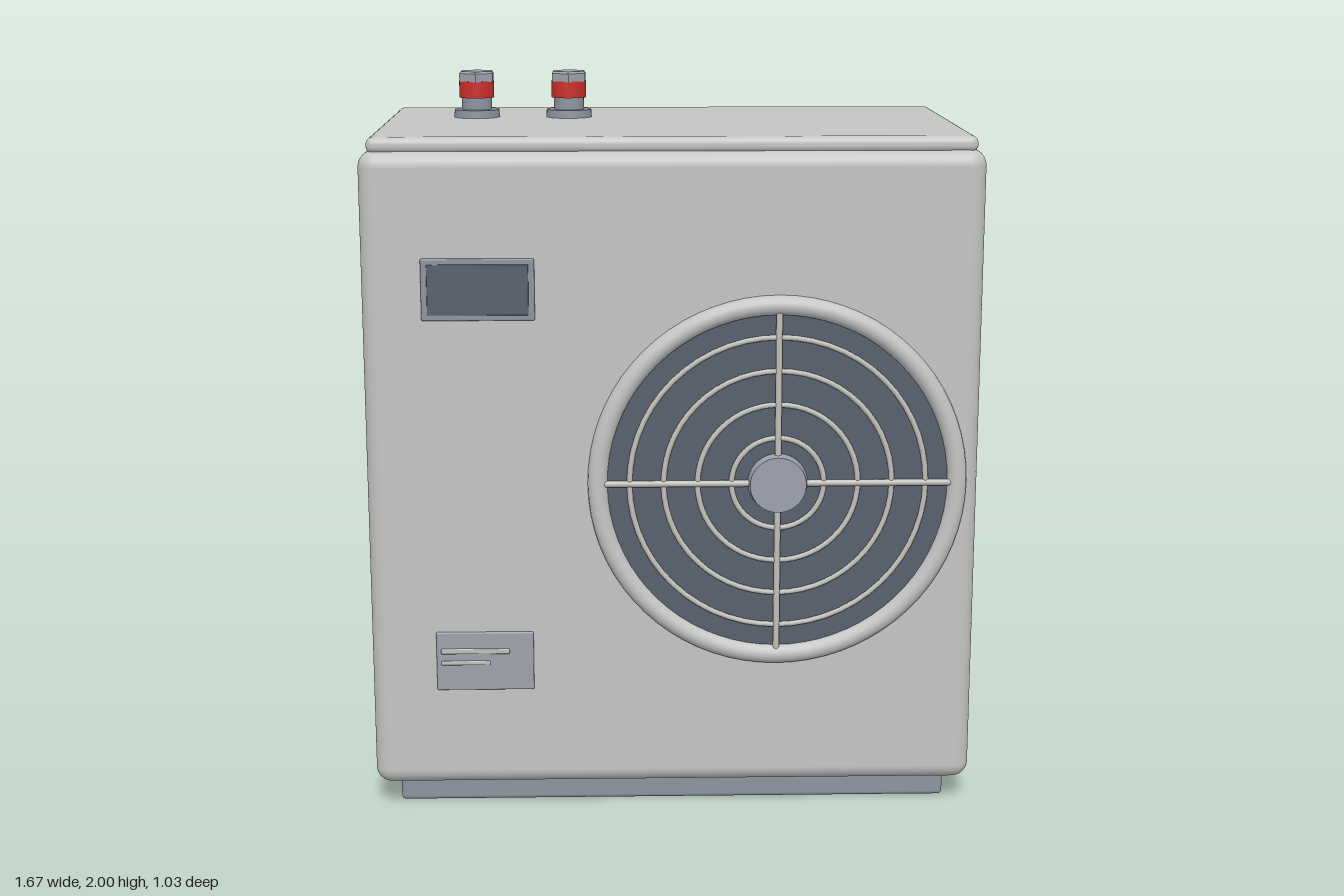
import * as THREE from 'three';
import { RoundedBoxGeometry } from 'three/addons/geometries/RoundedBoxGeometry.js';

const mat = (name, color) => {
  const m = new THREE.MeshStandardMaterial({ color });
  m.name = name;
  return m;
};

export function createModel() {
  const shell = mat('shell grey', 0xc4c4c3);
  const steel = mat('blue grey', 0x8d949f);
  const dark = mat('dark slate', 0x56606d);
  const wire = mat('grille wire', 0xc2c0b9);
  const hubGrey = mat('hub grey', 0x9da1ac);
  const red = mat('red band', 0xc8302a);

  const model = new THREE.Group();
  model.name = 'outdoorUnit';

  const add = (parent, name, geo, material, x = 0, y = 0, z = 0) => {
    const mesh = new THREE.Mesh(geo, material);
    mesh.name = name;
    mesh.position.set(x, y, z);
    parent.add(mesh);
    return mesh;
  };
  // Rounded box from its extents on each axis
  const slab = (parent, name, material, [x0, x1], [y0, y1], [z0, z1], r) =>
    add(parent, name, new RoundedBoxGeometry(x1 - x0, y1 - y0, z1 - z0, 4, r), material,
      (x0 + x1) / 2, (y0 + y1) / 2, (z0 + z1) / 2);

  // Cabinet
  slab(model, 'base', steel, [-0.77, 0.76], [0, 0.1], [-0.45, 0.415], 0.012);
  slab(model, 'cabinet', shell, [-0.835, 0.825], [0.07, 1.835], [-0.515, 0.48], 0.045);
  slab(model, 'lid', shell, [-0.812, 0.802], [1.825, 1.869], [-0.492, 0.457], 0.02);

  // Fan and its round grille
  const fan = new THREE.Group();
  fan.name = 'fan';
  fan.position.set(0.277, 0.938, 0.48);
  model.add(fan);
  const disc = add(fan, 'fanOpening', new THREE.CylinderGeometry(0.475, 0.475, 0.008, 64), dark, 0, 0, 0.001);
  disc.rotation.x = Math.PI / 2;
  add(fan, 'fanRim', new THREE.TorusGeometry(0.487, 0.027, 16, 72), shell);
  for (const r of [0.125, 0.217, 0.309, 0.401]) {
    add(fan, 'grilleRing', new THREE.TorusGeometry(r, 0.0075, 8, 56), wire, 0, 0, 0.009);
  }
  for (const turn of [0, Math.PI / 2]) {
    const bar = add(fan, 'grilleSpoke', new THREE.CylinderGeometry(0.009, 0.009, 0.94, 10), wire, 0, 0, 0.011);
    bar.rotation.z = turn;
  }
  const hub = add(fan, 'hub', new THREE.CylinderGeometry(0.076, 0.082, 0.035, 36), hubGrey, 0, 0, 0.018);
  hub.rotation.x = Math.PI / 2;

  // Display window
  slab(model, 'displayFrame', steel, [-0.674, -0.373], [1.387, 1.553], [0.47, 0.488], 0.004);
  slab(model, 'displayScreen', dark, [-0.658, -0.389], [1.402, 1.538], [0.484, 0.491], 0.002);

  // Rating plate with two raised bars
  slab(model, 'ratingPlate', hubGrey, [-0.656, -0.389], [0.353, 0.519], [0.47, 0.487], 0.004);
  slab(model, 'plateBar', wire, [-0.643, -0.455], [0.458, 0.473], [0.484, 0.492], 0.003);
  slab(model, 'plateBar', wire, [-0.643, -0.508], [0.426, 0.438], [0.484, 0.492], 0.003);

  // Side louvres
  for (let i = 0; i < 6; i++) {
    const y = 1.048 + i * 0.0832;
    slab(model, 'louvre', steel, [0.81, 0.833], [y - 0.012, y + 0.012], [-0.3, 0.267], 0.006);
  }

  // Pipe fittings on the lid
  for (const x of [-0.555, -0.29]) {
    const fitting = new THREE.Group();
    fitting.name = 'pipeFitting';
    fitting.position.set(x, 0, -0.153);
    model.add(fitting);
    const ring = (name, r0, r1, y0, y1, material, sides = 32) =>
      add(fitting, name, new THREE.CylinderGeometry(r1, r0, y1 - y0, sides), material, 0, (y0 + y1) / 2, 0);
    ring('flange', 0.066, 0.064, 1.866, 1.891, steel);
    ring('neck', 0.043, 0.043, 1.888, 1.975, steel);
    ring('redBand', 0.05, 0.05, 1.925, 1.972, red);
    const hex = steel.clone === undefined ? steel : hubGrey;
    const cap = ring('hexCap', 0.055, 0.055, 1.97, 1.994, hex, 6);
    cap.geometry = cap.geometry.toNonIndexed();
    cap.geometry.computeVertexNormals();
    const top = ring('hexCapTop', 0.055, 0.05, 1.994, 2, hex, 6);
    top.geometry = top.geometry.toNonIndexed();
    top.geometry.computeVertexNormals();
  }

  return model;
}
